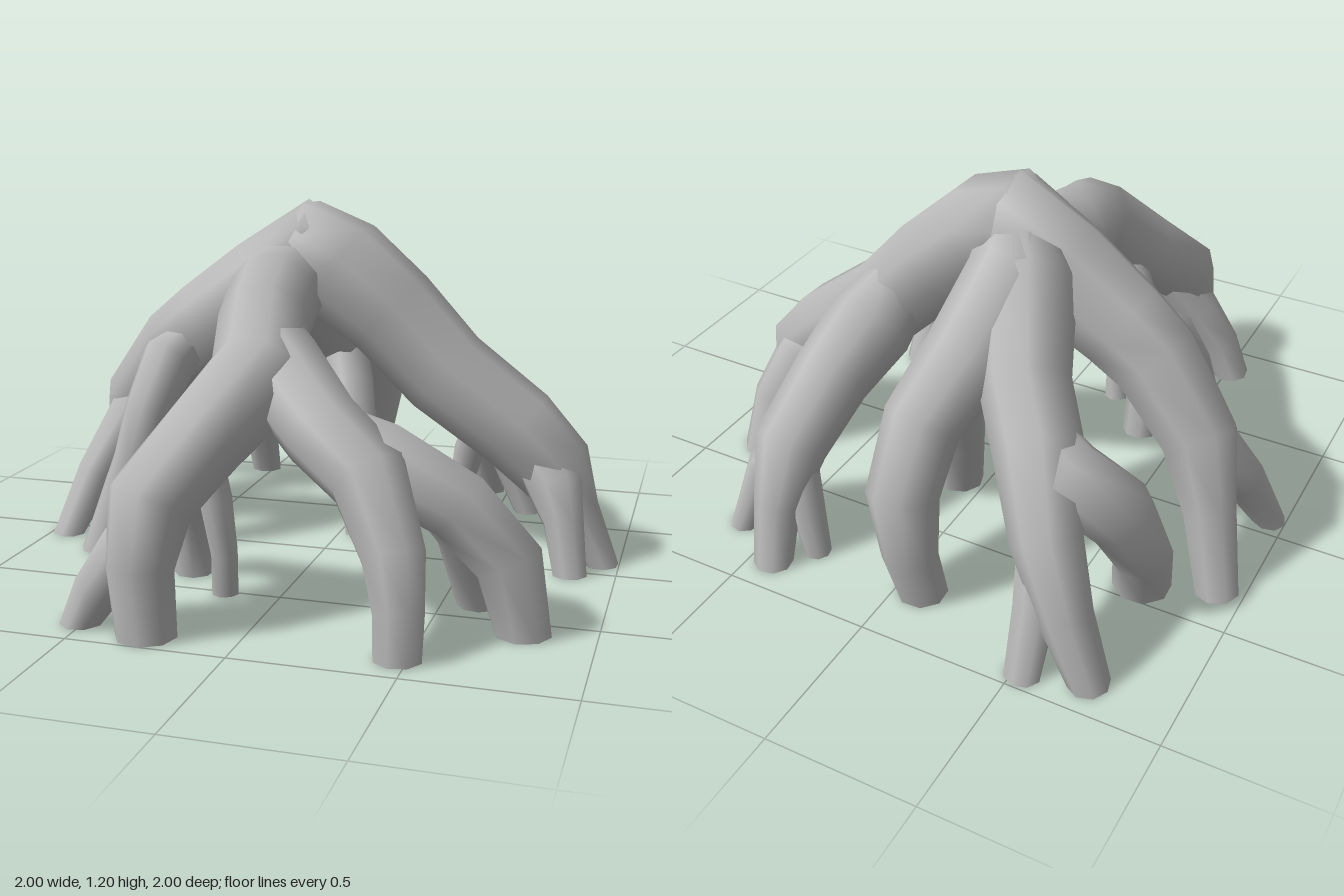
import * as THREE from 'three';

const SIDES = 8;
const GROUND = 0.015;

// Tapered tube with one ring per [x, y, z, radius] knot; the foot is cut flat on the ground
function rootGeometry(knots) {
  const points = knots.map(k => new THREE.Vector3(k[0], k[1], k[2]));
  const last = knots.length - 1;
  const pos = [], index = [];
  const normal = new THREE.Vector3(0.31, 0.2, 0.93);
  points.forEach((p, i) => {
    const before = p.clone().sub(points[Math.max(i - 1, 0)]).normalize();
    const after = points[Math.min(i + 1, last)].clone().sub(p).normalize();
    const t = before.add(after).normalize();
    normal.addScaledVector(t, -normal.dot(t)).normalize();
    const side = new THREE.Vector3().crossVectors(t, normal);
    for (let j = 0; j < SIDES; j++) {
      const a = (j + 0.5) / SIDES * Math.PI * 2;
      const v = p.clone().addScaledVector(normal, Math.cos(a) * knots[i][3]).addScaledVector(side, Math.sin(a) * knots[i][3]);
      pos.push(v.x, i === last ? GROUND : Math.max(v.y, GROUND), v.z);
    }
  });
  for (let i = 0; i < last; i++) {
    for (let j = 0; j < SIDES; j++) {
      const a = i * SIDES + j, b = i * SIDES + (j + 1) % SIDES;
      index.push(a, b, a + SIDES, b, b + SIDES, a + SIDES);
    }
  }
  // flat sole with its own vertices, so the edge stays sharp
  const sole = pos.length / 3;
  pos.push(...pos.slice(last * SIDES * 3));
  for (let j = 1; j < SIDES - 1; j++) index.push(sole, sole + j, sole + j + 1);
  const g = new THREE.BufferGeometry();
  g.setAttribute('position', new THREE.Float32BufferAttribute(pos, 3));
  g.setIndex(index);
  g.computeVertexNormals();
  return g;
}

// Each limb: a main root followed by its side toes; starts are buried in the parent
const LIMBS = {
  leftRoot: [
    [[-0.2, 0.96, -0.14, 0.1], [-0.08, 1.025, -0.14, 0.195], [0.03, 0.98, -0.12, 0.185], [0.2, 0.84, -0.13, 0.17],
      [0.39, 0.64, -0.14, 0.16], [0.64, 0.46, -0.14, 0.15], [0.77, 0.33, -0.14, 0.135], [0.85, 0.19, -0.12, 0.08],
      [0.94, 0, -0.11, 0.065]],
    [[0.6, 0.46, -0.15, 0.08], [0.73, 0.34, -0.2, 0.115], [0.79, 0.2, -0.31, 0.09], [0.81, 0, -0.37, 0.09]],
    [[0.68, 0.42, -0.12, 0.08], [0.78, 0.29, -0.08, 0.1], [0.82, 0.18, -0.02, 0.07], [0.85, 0, 0.025, 0.06]],
  ],
  rightRoot: [
    [[0.04, 0.96, -0.14, 0.1], [-0.08, 1.025, -0.14, 0.195], [-0.24, 0.91, -0.12, 0.18], [-0.46, 0.77, -0.125, 0.16],
      [-0.58, 0.68, -0.13, 0.15], [-0.76, 0.47, -0.18, 0.13], [-0.84, 0.26, -0.26, 0.09], [-0.91, 0, -0.33, 0.075]],
    [[-0.64, 0.6, -0.15, 0.08], [-0.75, 0.43, -0.13, 0.105], [-0.86, 0.22, 0, 0.075], [-0.94, 0, 0.08, 0.065]],
    [[-0.5, 0.74, -0.1, 0.06], [-0.56, 0.66, 0.02, 0.1], [-0.6, 0.5, 0.12, 0.085], [-0.64, 0.33, 0.16, 0.075],
      [-0.75, 0, 0.21, 0.075]],
  ],
  frontRoot: [
    [[-0.1, 1.0, -0.14, 0.12], [-0.16, 0.91, 0.05, 0.16], [-0.12, 0.85, 0.28, 0.15], [-0.05, 0.73, 0.51, 0.165],
      [-0.18, 0.56, 0.7, 0.14], [-0.28, 0.41, 0.86, 0.135], [-0.3, 0.22, 0.9, 0.105], [-0.28, 0, 0.91, 0.095]],
    [[-0.24, 0.42, 0.77, 0.08], [-0.35, 0.27, 0.84, 0.095], [-0.45, 0.13, 0.86, 0.08], [-0.51, 0, 0.86, 0.075]],
    [[-0.13, 0.6, 0.6, 0.08], [-0.23, 0.46, 0.51, 0.085], [-0.35, 0.28, 0.38, 0.065], [-0.35, 0, 0.35, 0.065]],
    [[-0.22, 0.45, 0.53, 0.05], [-0.2, 0.33, 0.53, 0.055], [-0.17, 0.16, 0.54, 0.045], [-0.18, 0, 0.51, 0.045]],
  ],
  frontLeftRoot: [
    [[-0.12, 0.84, 0.31, 0.11], [-0.01, 0.74, 0.46, 0.145], [0.17, 0.6, 0.61, 0.13], [0.34, 0.49, 0.7, 0.125],
      [0.44, 0.29, 0.8, 0.1], [0.47, 0.15, 0.86, 0.08], [0.47, 0, 0.87, 0.075]],
    [[0.1, 0.63, 0.55, 0.07], [0.35, 0.52, 0.61, 0.125], [0.58, 0.39, 0.575, 0.115], [0.73, 0.23, 0.565, 0.11],
      [0.78, 0, 0.58, 0.09]],
    [[0.46, 0.44, 0.58, 0.06], [0.57, 0.27, 0.48, 0.075], [0.61, 0, 0.39, 0.065]],
  ],
  backLeftRoot: [
    [[0.33, 0.74, -0.14, 0.11], [0.38, 0.62, -0.3, 0.15], [0.41, 0.52, -0.5, 0.13], [0.43, 0.38, -0.72, 0.12],
      [0.43, 0.2, -0.82, 0.075], [0.42, 0, -0.88, 0.065]],
    [[0.43, 0.37, -0.67, 0.06], [0.52, 0.27, -0.74, 0.07], [0.62, 0, -0.76, 0.055]],
    [[0.43, 0.41, -0.6, 0.06], [0.51, 0.29, -0.64, 0.075], [0.61, 0.07, -0.64, 0.055]],
    [[0.42, 0.37, -0.7, 0.06], [0.36, 0.2, -0.76, 0.06], [0.32, 0, -0.77, 0.045]],
  ],
  backRoot: [
    [[-0.1, 1.0, -0.14, 0.13], [-0.17, 0.95, -0.29, 0.16], [-0.1, 0.74, -0.48, 0.145], [-0.03, 0.58, -0.65, 0.125],
      [-0.03, 0.39, -0.78, 0.115], [-0.06, 0.18, -0.8, 0.09], [-0.08, 0, -0.77, 0.085]],
    [[-0.08, 0.71, -0.52, 0.08], [-0.03, 0.51, -0.44, 0.09], [0.03, 0.3, -0.31, 0.08], [0.09, 0, -0.22, 0.08]],
  ],
  backRightRoot: [
    [[-0.1, 1.0, -0.14, 0.13], [-0.2, 0.94, -0.29, 0.16], [-0.29, 0.71, -0.47, 0.145], [-0.42, 0.6, -0.63, 0.14],
      [-0.53, 0.41, -0.79, 0.11], [-0.63, 0.22, -0.86, 0.085], [-0.72, 0, -0.88, 0.07]],
    [[-0.48, 0.48, -0.72, 0.07], [-0.53, 0.22, -0.86, 0.07], [-0.53, 0, -0.94, 0.06]],
    [[-0.34, 0.65, -0.55, 0.08], [-0.52, 0.56, -0.65, 0.12], [-0.67, 0.42, -0.58, 0.115], [-0.71, 0.2, -0.48, 0.095],
      [-0.69, 0, -0.42, 0.095]],
  ],
};

export function createModel() {
  const model = new THREE.Group();
  model.name = 'rootArch';
  const bark = new THREE.MeshStandardMaterial({ color: 0xb8b8b8 });
  bark.name = 'greyBark';

  for (const [name, roots] of Object.entries(LIMBS)) {
    const limb = new THREE.Group();
    limb.name = name;
    roots.forEach((knots, i) => {
      const mesh = new THREE.Mesh(rootGeometry(knots), bark);
      mesh.name = i ? `${name}Toe${i}` : `${name}Main`;
      limb.add(mesh);
    });
    model.add(limb);
  }
  return model;
}
